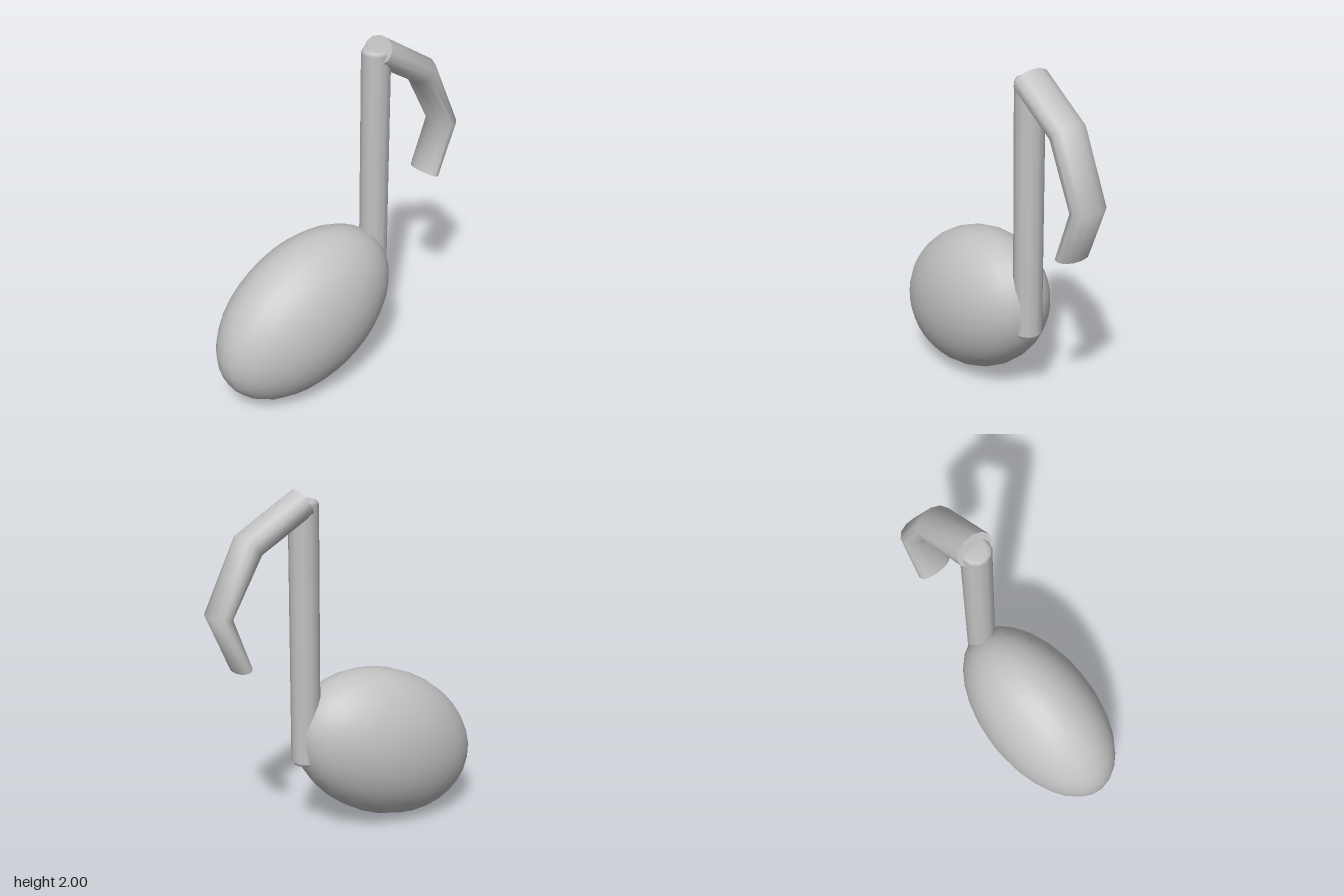
import * as THREE from 'three';

// Closed tube of elliptical rings lying across the xy plane: each ring has a centre and an in-plane half width
function ringTube(rings, halfDepth, sides) {
  const pos = [], idx = [];
  const k = 1 / Math.cos(Math.PI / sides);
  const addRing = ([cx, cy, hx, hy]) => {
    for (let j = 0; j < sides; j++) {
      const t = ((j + 0.5) / sides) * Math.PI * 2;
      pos.push(cx + hx * k * Math.cos(t), cy + hy * k * Math.cos(t), halfDepth * k * Math.sin(t));
    }
  };
  rings.forEach(addRing);
  for (let i = 0; i < rings.length - 1; i++) {
    for (let j = 0; j < sides; j++) {
      const a = i * sides + j, b = i * sides + ((j + 1) % sides);
      idx.push(a, b, a + sides, b, b + sides, a + sides);
    }
  }
  // End caps with their own vertices, so the rims stay sharp
  [rings[0], rings[rings.length - 1]].forEach((r, end) => {
    const c = pos.length / 3;
    pos.push(r[0], r[1], 0);
    addRing(r);
    for (let j = 0; j < sides; j++) {
      const a = c + 1 + j, b = c + 1 + ((j + 1) % sides);
      if (end === 0) idx.push(c, b, a);
      else idx.push(c, a, b);
    }
  });
  const g = new THREE.BufferGeometry();
  g.setAttribute('position', new THREE.Float32BufferAttribute(pos, 3));
  g.setIndex(idx);
  g.computeVertexNormals();
  return g;
}

export function createModel() {
  const group = new THREE.Group();
  const grey = new THREE.MeshStandardMaterial({ color: 0xc2c2c2 });
  grey.name = 'grey';
  const add = (name, geometry) => {
    const mesh = new THREE.Mesh(geometry, grey);
    mesh.name = name;
    group.add(mesh);
    return mesh;
  };

  // Tilted oval note head
  const head = add('noteHead', new THREE.SphereGeometry(1, 32, 16).rotateX(Math.PI / 2));
  head.scale.set(0.602, 0.43, 0.335);
  head.rotation.z = 0.45;
  head.position.set(-0.265, 0.47, 0);

  // Upright stem with softened rims
  const profile = [[0, 0.44], [0.058, 0.44], [0.075, 0.447], [0.083, 0.465],
    [0.083, 1.92], [0.075, 1.938], [0.058, 1.945], [0, 1.945]];
  const stem = add('stem', new THREE.LatheGeometry(profile.map(([x, y]) => new THREE.Vector2(x, y)), 12));
  stem.position.x = 0.252;

  // Bent flag that tapers towards its tip
  add('flag', ringTube([
    [0.262, 1.93, 0.04, 0.07],
    [0.583, 1.735, 0.058, 0.055],
    [0.765, 1.375, 0.065, 0.005],
    [0.645, 1.075, 0.045, -0.015],
  ], 0.104, 12));

  return group;
}
